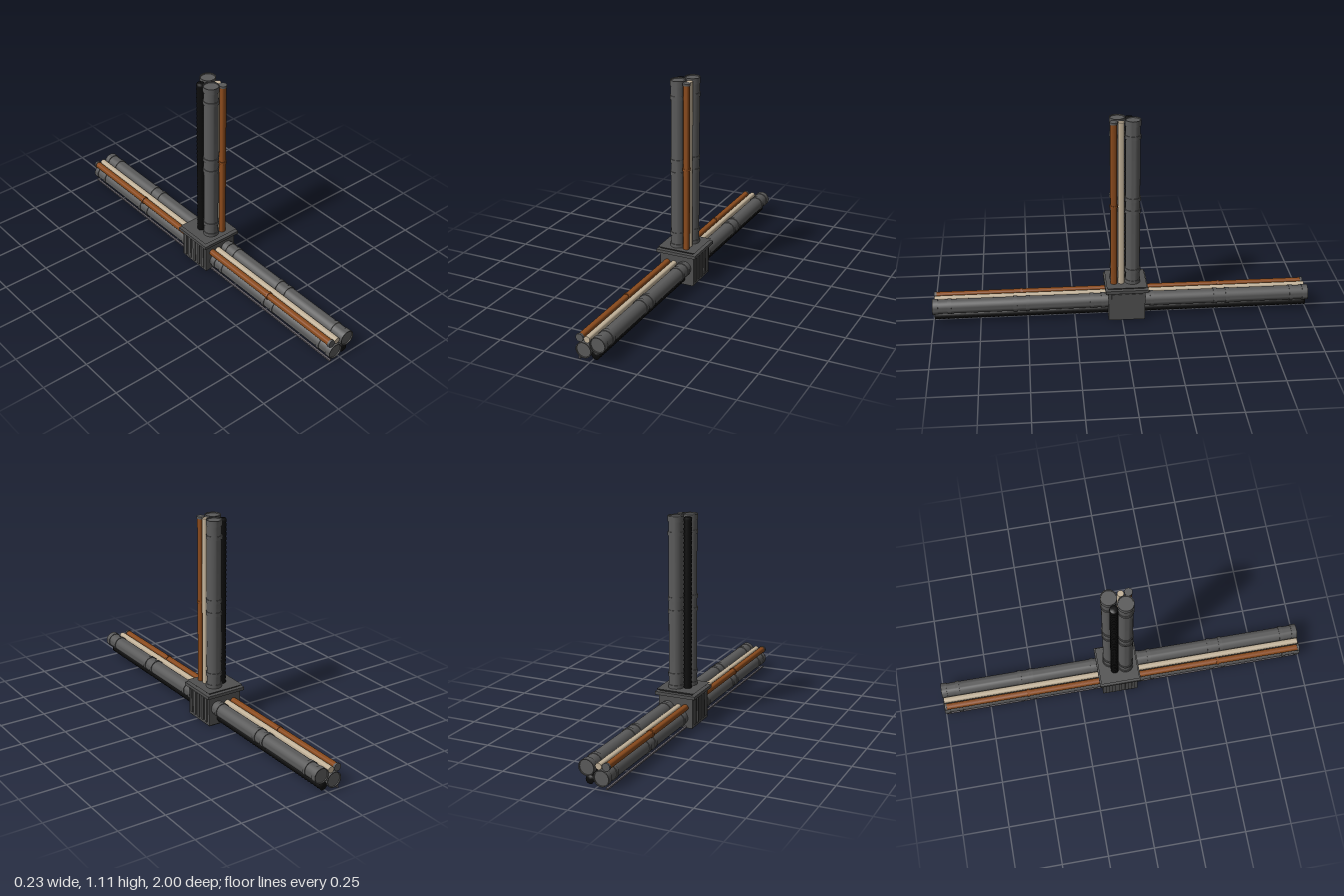
import * as THREE from 'three';
import { toCreasedNormals } from 'three/addons/utils/BufferGeometryUtils.js';

const mat = (name, color) => Object.assign(new THREE.MeshStandardMaterial({ color }), { name });

export function createModel() {
  const grey = mat('pipe grey', 0x5a5a5a);
  const dark = mat('housing grey', 0x505050);
  const copper = mat('copper', 0x8a4a1c);
  const cream = mat('cream', 0xc2b299);
  const black = mat('hose black', 0x0c0c0c);
  const rodGrey = mat('rod grey', 0x6a666c);
  const model = new THREE.Group();

  const add = (parent, name, geometry, material, x = 0, y = 0, z = 0) => {
    const mesh = new THREE.Mesh(geometry, material);
    mesh.name = name;
    mesh.position.set(x, y, z);
    parent.add(mesh);
    return mesh;
  };

  // Turned tube along y; each collar is [centre, width, radius]
  const tube = (r, start, end, collars = [], sides = 32) => {
    const pts = [[0, start], [r, start]];
    [...collars].sort((a, b) => a[0] - b[0]).forEach(([c, w, cr]) =>
      pts.push([r, c - w / 2], [cr, c - w / 2], [cr, c + w / 2], [r, c + w / 2]));
    pts.push([r, end], [0, end]);
    const profile = pts.map(p => new THREE.Vector2(p[0], p[1]));
    return toCreasedNormals(new THREE.LatheGeometry(profile, sides), 0.6);
  };

  // Corrugated hose along y
  const hose = (r, start, end) => {
    const n = Math.round((end - start) / 0.012);
    const pts = [new THREE.Vector2(0, start)];
    for (let i = 0; i <= n; i++) {
      pts.push(new THREE.Vector2(i % 2 ? r - 0.003 : r, start + (end - start) * i / n));
    }
    pts.push(new THREE.Vector2(0, end));
    return new THREE.LatheGeometry(pts, 16);
  };

  // Raised rim at an open pipe end
  const rim = (parent, x, y, end, sign) => {
    const shape = new THREE.Shape().absarc(0, 0, 0.0415, 0, Math.PI * 2);
    shape.holes.push(new THREE.Path().absarc(0, 0, 0.037, 0, Math.PI * 2));
    const g = new THREE.ExtrudeGeometry(shape, { depth: 0.03, bevelEnabled: false, curveSegments: 16 });
    g.rotateX(-Math.PI / 2);
    add(parent, 'pipeEndRim', toCreasedNormals(g, 0.6), grey, x, sign > 0 ? end - 0.03 : end, y);
  };

  // One bundle along y; at() places every pipe of the cross-section
  const bundle = (name, start, end, collarsAt, clipsAt, bothEnds, at) => {
    const g = new THREE.Group();
    g.name = name;
    model.add(g);
    const s = bothEnds ? start + 0.006 : start;
    const big = collarsAt.map(c => [c, 0.02, 0.0415]);
    [[-0.034, 0.057], [0.043, 0.1]].forEach(p => {
      const [x, z] = at(...p);
      add(g, 'mainPipe', tube(0.038, s, end - 0.006, big), grey, x, 0, z);
      rim(g, x, z, end, 1);
      if (bothEnds) rim(g, x, z, start, -1);
    });
    // Copper line with clips and grey plugs
    const [cx, cz] = at(-0.057, 0.115);
    const tip = end - 0.012;
    const low = bothEnds ? start + 0.012 : start;
    const clips = clipsAt.map(c => [c, 0.012, 0.021]);
    add(g, 'copperPipe', tube(0.0175, low, tip, clips, 24), copper, cx, 0, cz);
    const ends = bothEnds ? [tip, low] : [tip];
    ends.forEach(e => add(g, 'copperPipePlug',
      new THREE.CylinderGeometry(0.0205, 0.0205, 0.012, 24), grey, cx, e, cz));
    // Cream pipe and black hose
    const [wx, wz] = at(-0.018, 0.113);
    add(g, 'creamPipe', tube(0.0165, s, end - 0.008, [], 24), cream, wx, 0, wz);
    const [hx, hz] = at(0.028, 0.04);
    add(g, 'blackHose', hose(0.022, s, end - 0.008), black, hx, 0, hz);
    return g;
  };

  // Horizontal run: local y becomes world z
  const run = bundle('horizontalPipes', -1, 1,
    [-0.91, -0.565, -0.5, -0.16, 0.1, 0.16, 0.5, 0.565, 0.91],
    [-0.53, 0.53], true, (x, y) => [x, -y]);
  run.rotation.x = Math.PI / 2;

  // Upright run: the same cross-section turned a quarter
  bundle('uprightPipes', 0.18, 1.112, [0.207, 0.272, 0.612, 0.68, 1.021],
    [0.645], false, (x, y) => [y - 0.076, -x - 0.016]);

  // Thin rod under the horizontal run
  add(model, 'bottomRod', new THREE.BoxGeometry(0.01, 0.008, 1.99), rodGrey, -0.06, 0.008, 0);

  // Junction box with base, lid and flared collar
  const box = new THREE.Group();
  box.name = 'junctionBox';
  box.position.set(-0.002, 0, -0.024);
  model.add(box);
  add(box, 'boxBody', new THREE.BoxGeometry(0.194, 0.164, 0.194), dark, 0, 0.088, 0);
  add(box, 'boxBase', new THREE.BoxGeometry(0.182, 0.008, 0.182), dark, 0, 0.004, 0);
  add(box, 'boxLid', new THREE.BoxGeometry(0.226, 0.017, 0.226), dark, 0, 0.176, 0);
  const flare = new THREE.CylinderGeometry(0.106 * Math.SQRT2, 0.09 * Math.SQRT2, 0.014, 4).toNonIndexed();
  flare.rotateY(Math.PI / 4);
  flare.computeVertexNormals();
  add(box, 'lidFlare', flare, dark, 0, 0.191, 0);

  // Ribbed side panels
  for (const side of [-1, 1]) {
    for (let i = 0; i < 5; i++) {
      add(box, 'sideRib', new THREE.BoxGeometry(0.008, 0.135, 0.018), dark,
        side * 0.099, 0.09, (i - 2) * 0.036);
    }
  }
  return model;
}
